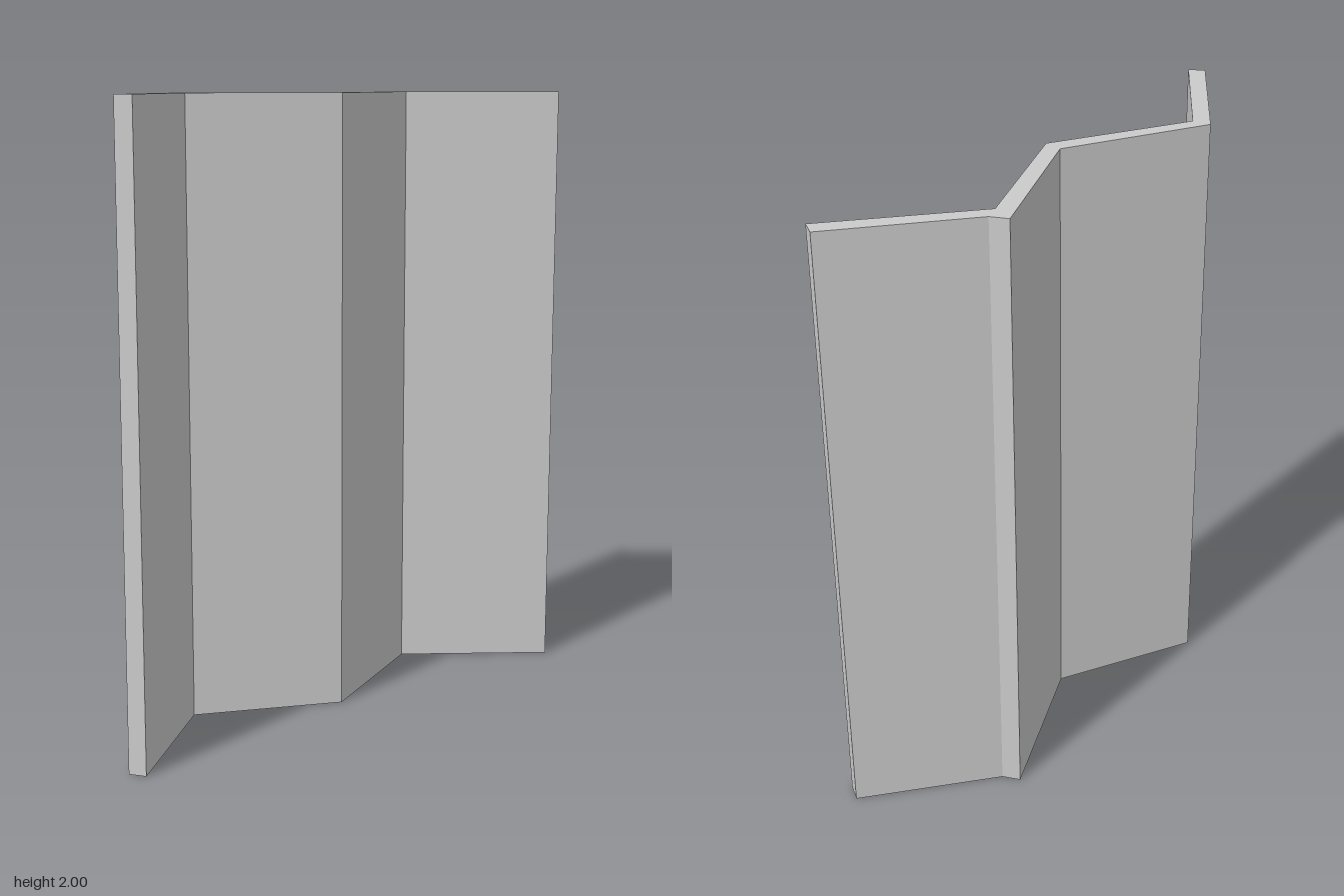
import * as THREE from 'three';

export function createModel() {
  const group = new THREE.Group();
  group.name = 'foldingScreen';

  // Plan outline of the four zigzag leaves as [x, z]
  const back = [[-0.9, 0.137], [-0.474, -0.188], [-0.012, 0.036], [0.488, -0.202], [0.514, -0.147], [0.898, 0.151]];
  const front = [[-0.87, 0.185], [-0.464, -0.127], [-0.022, 0.099], [0.46, -0.123], [0.867, 0.202]];
  const outline = [...back, ...front.reverse()];
  const shape = new THREE.Shape(outline.map(([x, z]) => new THREE.Vector2(x, -z)));

  // Raise the outline to full height
  const geometry = new THREE.ExtrudeGeometry(shape, { depth: 2, bevelEnabled: false });
  geometry.rotateX(-Math.PI / 2);

  const material = new THREE.MeshStandardMaterial({ color: 0xcccccc, flatShading: true });
  const panels = new THREE.Mesh(geometry, material);
  panels.name = 'foldedPanels';
  group.add(panels);
  return group;
}
